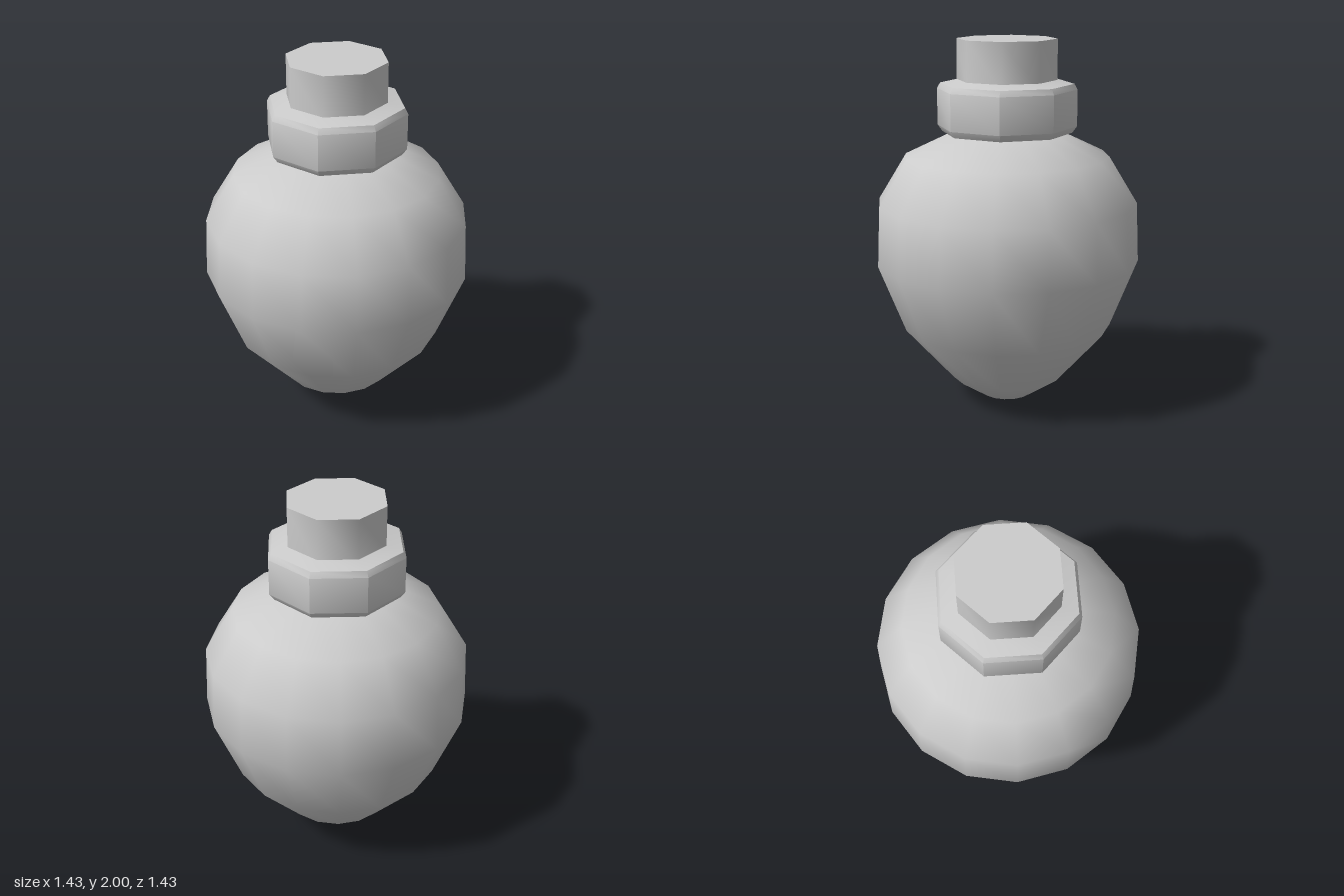
import * as THREE from 'three';
import { toCreasedNormals } from 'three/addons/utils/BufferGeometryUtils.js';

const material = new THREE.MeshStandardMaterial({ color: 0xcccccc });

// Turned part from a bottom-to-top profile of [radius, height]
function turned(name, profile, sides, crease) {
  let geometry = new THREE.LatheGeometry(profile.map(([r, y]) => new THREE.Vector2(r, y)), sides);
  if (crease) geometry = toCreasedNormals(geometry, crease);
  const mesh = new THREE.Mesh(geometry, material);
  mesh.name = name;
  return mesh;
}

export function createModel() {
  const model = new THREE.Group();
  model.name = 'pointedFlask';

  // Rounded body tapering to a blunt tip
  model.add(turned('body', [
    [0, 0], [0.14, 0.03], [0.305, 0.14], [0.57, 0.44], [0.716, 0.81],
    [0.702, 1.13], [0.55, 1.38], [0.3, 1.5], [0, 1.53],
  ], 16));

  // Octagonal collar with bevelled rims
  model.add(turned('collar', [
    [0, 1.5], [0.35, 1.505], [0.375, 1.54], [0.375, 1.735], [0.358, 1.765], [0.268, 1.785],
  ], 8, 0.85));

  // Octagonal stopper with a flat top
  model.add(turned('stopper', [[0.268, 1.75], [0.268, 2], [0, 2]], 8, 0.85));

  return model;
}
